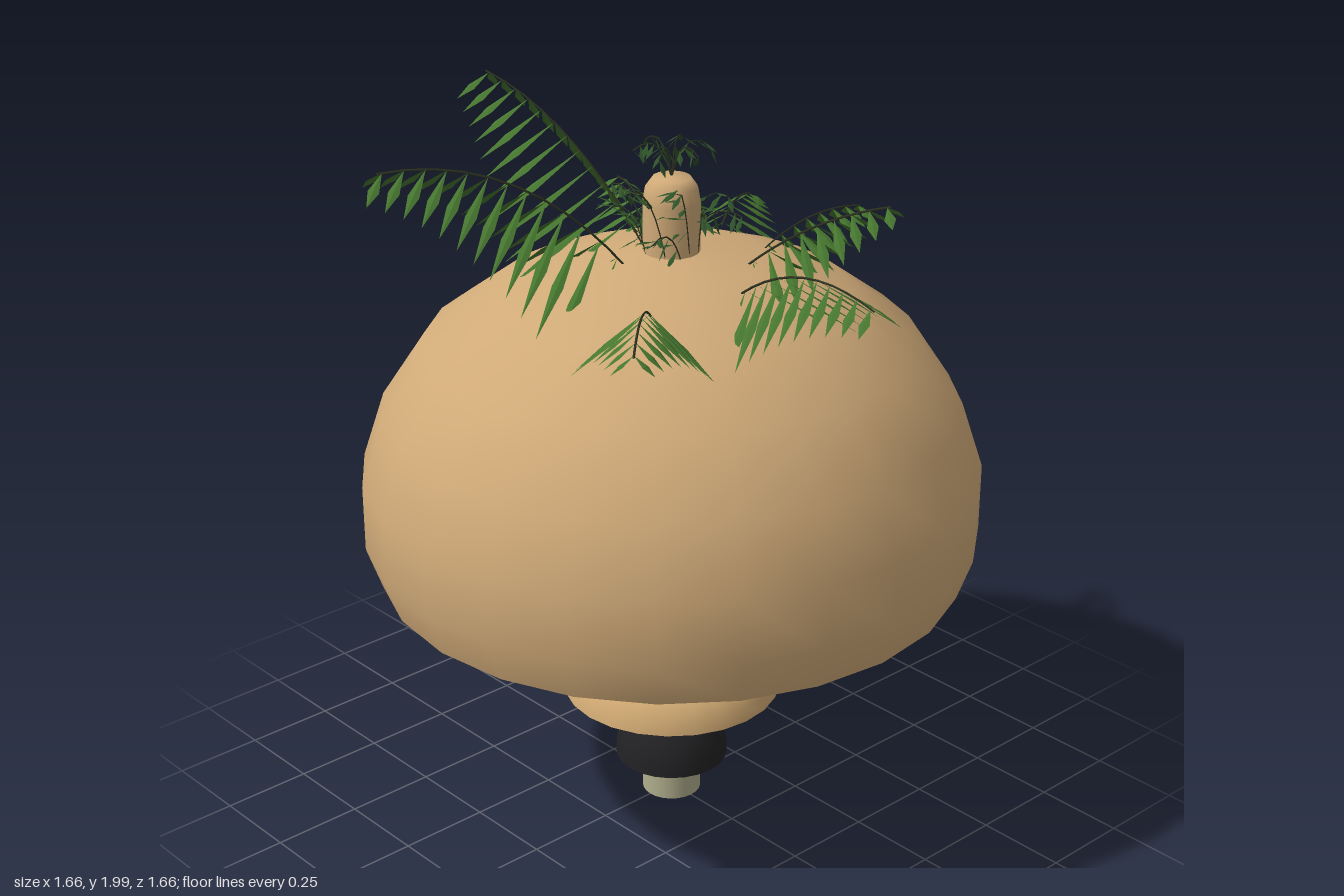
import * as THREE from 'three';

const mat = (color, side = THREE.DoubleSide) => new THREE.MeshStandardMaterial({ color, side });
const clay = mat(0xd0aa78);
const tan = mat(0xcfa872);
const black = mat(0x222224);
const glass = mat(0xb0ae8c);
const amber = mat(0xb08038);
const steel = mat(0x8b9097);
const stemMat = mat(0x2e3320);
const leafMat = mat(0x46762f);
const darkLeafMat = mat(0x2f5228);

let seed = 7;
const rnd = () => (seed = (seed * 16807) % 2147483647) / 2147483647;
const V = (a) => new THREE.Vector3(...a);

export function createModel() {
  const root = new THREE.Group();

  const add = (name, geometry, material, x = 0, y = 0, z = 0) => {
    const mesh = new THREE.Mesh(geometry, material);
    mesh.name = name;
    mesh.position.set(x, y, z);
    root.add(mesh);
    return mesh;
  };
  const lathe = (name, points, material, segments = 24) =>
    add(name, new THREE.LatheGeometry(points.map((p) => new THREE.Vector2(...p)), segments), material);
  const cylinder = (name, r, y0, y1, material, x = 0, z = 0, sides = 12, open = false, rTop = r) =>
    add(name, new THREE.CylinderGeometry(rTop, r, y1 - y0, sides, 1, open), material, x, (y0 + y1) / 2, z);

  // Big planter dome: outer shell, inner shell and flat rim
  const outer = [[0.79, 0.725], [0.83, 0.84], [0.83, 1.02], [0.77, 1.2], [0.65, 1.38], [0.465, 1.515], [0.24, 1.6], [0, 1.625]];
  lathe('domeShell', outer, clay);
  lathe('domeLining', outer.map(([r, y], i) => [Math.max(0, r - 0.04), i ? y - 0.03 : y]), clay);
  lathe('domeRim', [[0.75, 0.725], [0.79, 0.725]], clay);

  // Rounded post on the crown
  lathe('crownPost', [[0.075, 1.58], [0.075, 1.75], [0.068, 1.79], [0.05, 1.815], [0, 1.82]], clay, 16);

  // Motor pot and bracket hidden under the dome
  cylinder('pot', 0.13, 0.86, 1.12, amber, 0, 0, 16, false, 0.145);
  cylinder('potBase', 0.1, 0.785, 0.86, steel, 0, 0, 10, false, 0.13);
  cylinder('potCap', 0.045, 0.745, 0.785, black);
  cylinder('bracketPlate', 0.25, 1.1, 1.12, steel, 0, 0, 8);
  const ring = add('bracketRing', new THREE.TorusGeometry(0.265, 0.01, 6, 8), black, 0, 1.1, 0);
  ring.rotation.x = Math.PI / 2;
  for (let i = 0; i < 8; i++) {
    const a = (i / 8) * Math.PI * 2;
    cylinder('bracketRod', 0.008, 0.78, 1.11, i % 2 ? steel : black, 0.265 * Math.cos(a), 0.265 * Math.sin(a), 6);
  }

  // Hanging cord and saucer shade
  cylinder('cord', 0.004, 0.33, 0.78, mat(0x6c6f74), 0, 0, 6);
  const saucer = [[0.302, 0.338], [0.294, 0.375], [0.268, 0.415], [0.215, 0.443], [0.13, 0.455], [0, 0.467]];
  lathe('saucerShade', saucer, tan);
  lathe('saucerLining', saucer.map(([r, y], i) => [r * 0.97, i ? y - 0.012 : y]), tan);
  cylinder('saucerWasher', 0.05, 0.436, 0.45, mat(0x7a6440), 0, 0, 16);

  // Lamp: neck, black dome and glass tube
  cylinder('lampNeck', 0.02, 0.3, 0.342, black);
  lathe('lampDome', [[0.157, 0.115], [0.155, 0.16], [0.142, 0.205], [0.115, 0.255], [0.07, 0.298], [0, 0.318]], black);
  cylinder('lampTube', 0.082, 0, 0.2, glass, 0, 0, 24, true);
  cylinder('lampDiffuser', 0.08, 0.01, 0.02, mat(0xf0ecd8), 0, 0, 24);

  // One leaflet: a narrow diamond folded along its midrib
  const leaflet = (out, base, dir, length, width, normal) => {
    const side = new THREE.Vector3().crossVectors(dir, normal).normalize().multiplyScalar(width / 2);
    const tip = base.clone().addScaledVector(dir, length);
    const mid = base.clone().addScaledVector(dir, length * 0.55);
    const rib = mid.clone().addScaledVector(normal, width * 0.15);
    for (const s of [1, -1]) {
      const edge = mid.clone().addScaledVector(side, s);
      const tris = s > 0 ? [base, edge, rib, rib, edge, tip] : [base, rib, edge, rib, tip, edge];
      tris.forEach((p) => out.push(p.x, p.y, p.z));
    }
  };
  const leafMesh = (name, positions, material) => {
    const g = new THREE.BufferGeometry();
    g.setAttribute('position', new THREE.Float32BufferAttribute(positions, 3));
    g.computeVertexNormals();
    add(name, g, material);
  };

  // Palm frond: arched stem with paired drooping leaflets that shorten to the tip
  const up = new THREE.Vector3(0, 1, 0);
  const frond = (start, control, end, pairs, size) => {
    const curve = new THREE.QuadraticBezierCurve3(V(start), V(control), V(end));
    add('frondStem', new THREE.TubeGeometry(curve, 10, 0.003, 4), stemMat);
    const out = [];
    for (let i = 0; i < pairs; i++) {
      const t = 0.04 + 0.94 * (i / (pairs - 1));
      const p = curve.getPoint(t);
      const fwd = curve.getTangent(t);
      const across = new THREE.Vector3().crossVectors(fwd, up).normalize();
      fwd.y = 0;
      fwd.normalize();
      for (const s of [1, -1]) {
        const dir = fwd.clone().multiplyScalar(0.42).addScaledVector(across, s * 0.72);
        dir.y -= 0.55;
        dir.normalize();
        const normal = up.clone().addScaledVector(across, s * 0.5).normalize();
        leaflet(out, p, dir, size * (1 - 0.75 * t), 0.03, normal);
      }
    }
    leafMesh('frondLeaves', out, leafMat);
  };
  [
    [[0.28, 1.58, 0.02], [0.5, 1.75, 0.03], [0.78, 1.69, 0.07], 11, 0.34],
    [[0.18, 1.6, -0.1], [0.33, 1.75, -0.18], [0.51, 1.8, -0.27], 9, 0.27],
    [[0.1, 1.59, -0.24], [0.16, 1.7, -0.35], [0.21, 1.68, -0.48], 8, 0.22],
    [[-0.19, 1.55, -0.36], [-0.25, 1.61, -0.46], [-0.31, 1.56, -0.58], 7, 0.23],
    [[-0.06, 1.6, 0.03], [-0.32, 1.92, 0.06], [-0.6, 1.99, 0.12], 13, 0.42],
    [[-0.12, 1.61, -0.06], [-0.25, 1.7, -0.11], [-0.38, 1.69, -0.15], 7, 0.24],
    [[-0.02, 1.6, 0.14], [-0.17, 1.93, 0.36], [-0.36, 1.88, 0.66], 13, 0.42],
    [[0.22, 1.57, 0.27], [0.33, 1.68, 0.4], [0.45, 1.6, 0.53], 9, 0.28],
  ].forEach((f) => frond(...f));

  // Sparse vine of small leaves on curling twigs around the post
  const vine = [];
  for (let i = 0; i < 10; i++) {
    const a = i * 2.4;
    const reach = 0.11 + 0.12 * rnd();
    const top = 1.65 + 0.17 * rnd();
    const at = (r, y, turn) => new THREE.Vector3(r * Math.cos(a + turn), y, r * Math.sin(a + turn));
    const curve = new THREE.QuadraticBezierCurve3(at(0.07, 1.6, 0), at(0.1, top + 0.05, 0.4), at(reach, top, 0.7));
    add('vineTwig', new THREE.TubeGeometry(curve, 6, 0.002, 4), stemMat);
    for (let k = 0; k < 9; k++) {
      const dir = new THREE.Vector3(rnd() - 0.5, rnd() * 0.7 - 0.5, rnd() - 0.5).normalize();
      leaflet(vine, curve.getPoint(0.2 + 0.1 * k), dir, 0.045 + 0.025 * rnd(), 0.016, up);
    }
  }
  // Little tuft over the top of the post
  for (let i = 0; i < 6; i++) {
    const a = (i / 6) * Math.PI * 2;
    const c = Math.cos(a), s = Math.sin(a);
    const curve = new THREE.QuadraticBezierCurve3(V([0, 1.81, 0]), V([0.03 * c, 1.95, 0.03 * s]), V([0.1 * c, 1.89, 0.1 * s]));
    add('tuftTwig', new THREE.TubeGeometry(curve, 6, 0.002, 4), stemMat);
    for (let k = 0; k < 5; k++) {
      const dir = new THREE.Vector3(rnd() - 0.5, -0.4, rnd() - 0.5).normalize();
      leaflet(vine, curve.getPoint(0.4 + 0.15 * k), dir, 0.05, 0.016, up);
    }
  }
  leafMesh('vineLeaves', vine, darkLeafMat);

  return root;
}
